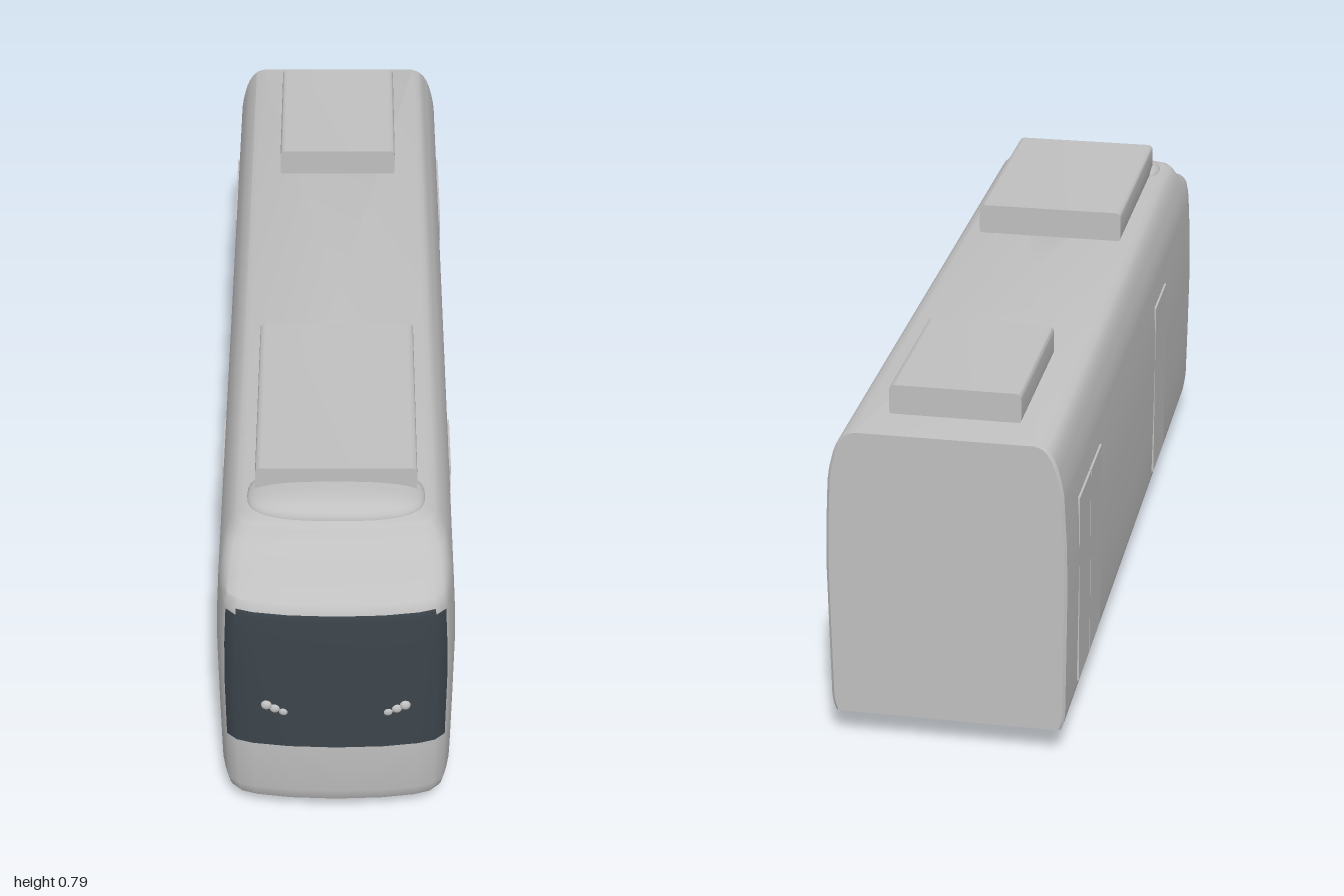
import * as THREE from 'three';
import { toCreasedNormals } from 'three/addons/utils/BufferGeometryUtils.js';

const mat = (name, color) => {
  const m = new THREE.MeshStandardMaterial({ color });
  m.name = name;
  return m;
};

// Rows of the shell: height, half width, nose z, how strongly the nose curves
const ROWS = [
  [0.065, 0.245, 0.985, 1], [0.08, 0.25, 0.992, 1], [0.1, 0.253, 0.996, 1],
  [0.235, 0.255, 1, 1], [0.4, 0.257, 1, 1], [0.5, 0.255, 1, 1],
  [0.595, 0.25, 1, 1], [0.61, 0.249, 0.998, 1], [0.63, 0.246, 0.985, 0.9],
  [0.645, 0.243, 0.955, 0.8], [0.66, 0.239, 0.92, 0.65], [0.675, 0.235, 0.87, 0.5],
  [0.69, 0.229, 0.848, 0.4], [0.705, 0.22, 0.837, 0.35], [0.715, 0.21, 0.828, 0.3],
  [0.72, 0.195, 0.82, 0.3],
];
// Half of the nose in plan: fraction of half width, distance behind the tip
const NOSE = [
  [1, 0.16], [0.985, 0.11], [0.96, 0.075], [0.925, 0.045], [0.84, 0.025],
  [0.7, 0.014], [0.4, 0.004], [0, 0],
];

function shellGeometry() {
  // Plan outline of one row, from the rear left corner round the nose to the rear right
  const outline = ([y, w, tip, curve]) => {
    const half = [[w - 0.006, y, -1], [w, y, -0.994]];
    NOSE.forEach(([u, d]) => half.push([u * w, y, tip - d * curve]));
    const other = half.slice(0, -1).reverse().map(([x, h, z]) => [-x, h, z]);
    return half.concat(other);
  };
  const loops = ROWS.map(outline);
  const n = loops[0].length;
  const positions = loops.flat(2);
  const paint = [], glass = [];
  for (let r = 0; r < ROWS.length - 1; r++) {
    for (let i = 0; i < n; i++) {
      const j = (i + 1) % n;
      const a = r * n + i, b = r * n + j, c = a + n, d = b + n;
      // The glass covers the nose columns, with clipped upper corners
      const inset = r === 6 ? 6 : 5;
      const isGlass = r >= 3 && r <= 6 && i >= inset && i < n - 1 - inset;
      (isGlass ? glass : paint).push(a, c, b, b, c, d);
    }
  }
  // Floor and roof
  const top = (ROWS.length - 1) * n;
  const floorMid = positions.length / 3;
  positions.push(0, ROWS[0][0], 0, 0, ROWS[ROWS.length - 1][0], 0);
  for (let i = 0; i < n; i++) {
    const j = (i + 1) % n;
    paint.push(floorMid, i, j, floorMid + 1, top + j, top + i);
  }
  const geo = new THREE.BufferGeometry();
  geo.setAttribute('position', new THREE.Float32BufferAttribute(positions, 3));
  geo.setIndex(paint.concat(glass));
  geo.addGroup(0, paint.length, 0);
  geo.addGroup(paint.length, glass.length, 1);
  return toCreasedNormals(geo, 0.7);
}

// Roof unit: rounded cross-section drawn along z
function roofUnitGeometry(halfWidth, bottom, top, length) {
  const r = 0.014, w = halfWidth;
  const s = new THREE.Shape();
  s.moveTo(-w + r, bottom);
  s.lineTo(w - r, bottom);
  s.quadraticCurveTo(w, bottom, w, bottom + r);
  s.lineTo(w, top - r);
  s.quadraticCurveTo(w, top, w - r, top);
  s.lineTo(-w + r, top);
  s.quadraticCurveTo(-w, top, -w, top - r);
  s.lineTo(-w, bottom + r);
  s.quadraticCurveTo(-w, bottom, -w + r, bottom);
  const geo = new THREE.ExtrudeGeometry(s, { depth: length, bevelEnabled: false, curveSegments: 5 });
  return toCreasedNormals(geo, 0.6);
}

// Low squarish dome that leads the air over the front roof unit
function fairingGeometry() {
  const geo = new THREE.SphereGeometry(1, 40, 12, 0, Math.PI * 2, 0, Math.PI / 2);
  const p = geo.attributes.position;
  for (let i = 0; i < p.count; i++) {
    const square = (v) => Math.sign(v) * Math.pow(Math.abs(v), 0.7);
    p.setXYZ(i, square(p.getX(i)) * 0.19, p.getY(i) * 0.037, square(p.getZ(i)) * 0.085);
  }
  geo.computeVertexNormals();
  return geo;
}

export function createModel() {
  const paint = mat('light grey paint', 0xc0c0c0);
  const glass = mat('dark glass', 0x3c454c);
  const model = new THREE.Group();
  model.name = 'railCar';
  const add = (name, geo, material, x = 0, y = 0, z = 0) => {
    const mesh = new THREE.Mesh(geo, material);
    mesh.name = name;
    mesh.position.set(x, y, z);
    model.add(mesh);
    return mesh;
  };

  add('bodyShell', shellGeometry(), [paint, glass]);

  // Roof equipment
  add('roofFairing', fairingGeometry(), paint, 0, 0.717, 0.735);
  add('frontRoofUnit', roofUnitGeometry(0.172, 0.715, 0.79, 0.52), paint, 0, 0, 0.21);
  add('rearRoofUnit', roofUnitGeometry(0.14, 0.715, 0.785, 0.38), paint, 0, 0, -0.89);

  // Wheel profile: flange on the inner side, tread outside
  const wheelGeo = toCreasedNormals(new THREE.LatheGeometry([
    [0, -0.014], [0.066, -0.014], [0.068, -0.011], [0.067, -0.008],
    [0.061, -0.004], [0.059, 0.014], [0.045, 0.014], [0.04, 0.008], [0, 0.008],
  ].map(([r, h]) => new THREE.Vector2(r, h)), 32), 0.6);
  const axleGeo = new THREE.CylinderGeometry(0.01, 0.01, 0.32, 12);
  const lampGeo = new THREE.SphereGeometry(0.012, 16, 10);

  for (const z of [0, -0.39]) {
    add('axle', axleGeo, paint, 0, 0.068, z).rotation.z = Math.PI / 2;
  }

  for (const side of [1, -1]) {
    const name = side > 0 ? 'left' : 'right';
    for (const z of [0, -0.39]) {
      add(name + 'Wheel', wheelGeo, paint, side * 0.163, 0.068, z).rotation.z = -side * Math.PI / 2;
    }

    // Rising row of three headlights
    [[0.111, 0.335], [0.13, 0.343], [0.148, 0.352]].forEach(([x, y]) => {
      add(name + 'Headlight', lampGeo, paint, side * x, y, 0.99).scale.z = 0.7;
    });

    // Door leaves: one at the front, a pair at the rear
    [[0.24, 0.41], [-0.708, -0.57], [-0.85, -0.712]].forEach(([z0, z1]) => {
      const leaf = new THREE.BoxGeometry(0.006, 0.435, z1 - z0);
      add(name + 'Door', leaf, paint, side * 0.2545, 0.3225, (z0 + z1) / 2);
    });
  }
  return model;
}
